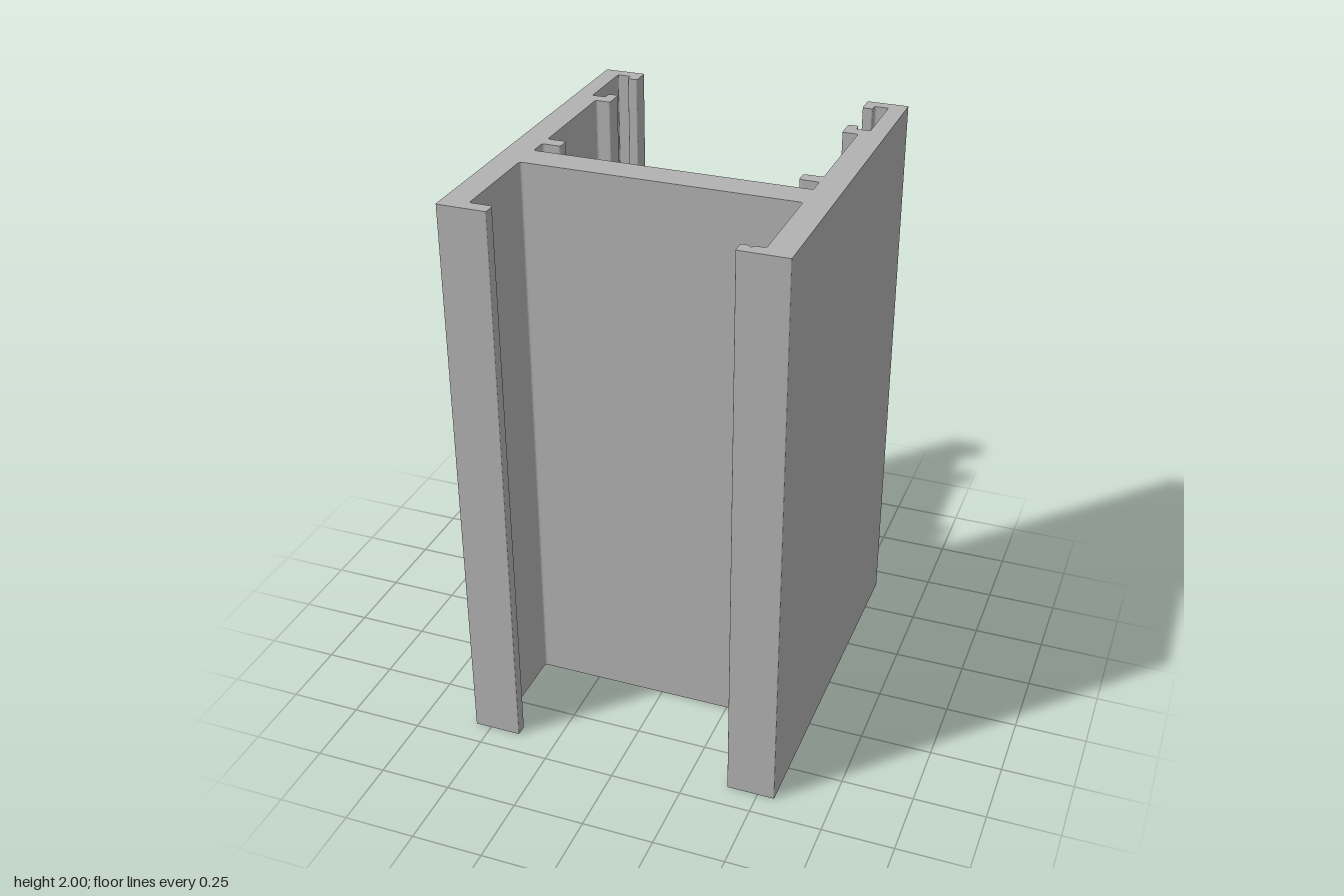
import * as THREE from 'three';

const HEIGHT = 2;

// Right half of the section as [x, z, corner radius], from the web's front face round to its back face
const half = [
  [0.469, 0.268, 0.01], [0.469, 0.618, 0.01],
  [0.391, 0.618, 0.01], [0.391, 0.664, 0.004],    // front lip
  [0.559, 0.664, 0.004], [0.559, -0.664, 0.004],  // outer wall
  [0.415, -0.664, 0.004], [0.415, -0.595, 0.006], // back hook
  [0.451, -0.595, 0.006], [0.451, -0.622, 0.008],
  [0.499, -0.622, 0.004], [0.499, -0.390, 0.004], // slot
  [0.451, -0.390, 0.008], [0.451, -0.420, 0.01],  // second hook
  [0.415, -0.420, 0.01], [0.415, -0.345, 0.006],
  [0.469, -0.345, 0.01], [0.469, 0.051, 0.01],
  [0.403, 0.051, 0.01], [0.403, 0.097, 0.01],     // inner rib
  [0.469, 0.097, 0.01], [0.469, 0.160, 0.01],
];

// Small groove in the lip on the +x side
const groove = [[0.437, 0.618, 0], [0.426, 0.629, 0], [0.415, 0.618, 0]];

// Closed outline with filleted corners; shape y is -z
function roundedShape(corners) {
  const pts = corners.map(([x, z]) => new THREE.Vector2(x, -z));
  const n = pts.length;
  const shape = new THREE.Shape();
  pts.forEach((p, i) => {
    const r = corners[i][2];
    const towards = (q) => p.clone().add(q.clone().sub(p).setLength(r));
    const a = r ? towards(pts[(i + n - 1) % n]) : p;
    const b = r ? towards(pts[(i + 1) % n]) : p;
    if (i === 0) shape.moveTo(a.x, a.y);
    else shape.lineTo(a.x, a.y);
    if (r) shape.quadraticCurveTo(p.x, p.y, b.x, b.y);
  });
  shape.closePath();
  return shape;
}

export function createModel() {
  const group = new THREE.Group();
  group.name = 'extrudedChannel';
  const aluminium = new THREE.MeshStandardMaterial({ color: 0xb2b2b2 });
  aluminium.name = 'grey aluminium';

  const right = [...half.slice(0, 2), ...groove, ...half.slice(2)];
  const left = half.map(([x, z, r]) => [-x, z, r]).reverse();

  const geometry = new THREE.ExtrudeGeometry(roundedShape([...right, ...left]), {
    depth: HEIGHT, bevelEnabled: false, curveSegments: 4,
  });
  geometry.rotateX(-Math.PI / 2); // stand the extrusion upright

  const profile = new THREE.Mesh(geometry, aluminium);
  profile.name = 'channelProfile';
  group.add(profile);
  return group;
}
